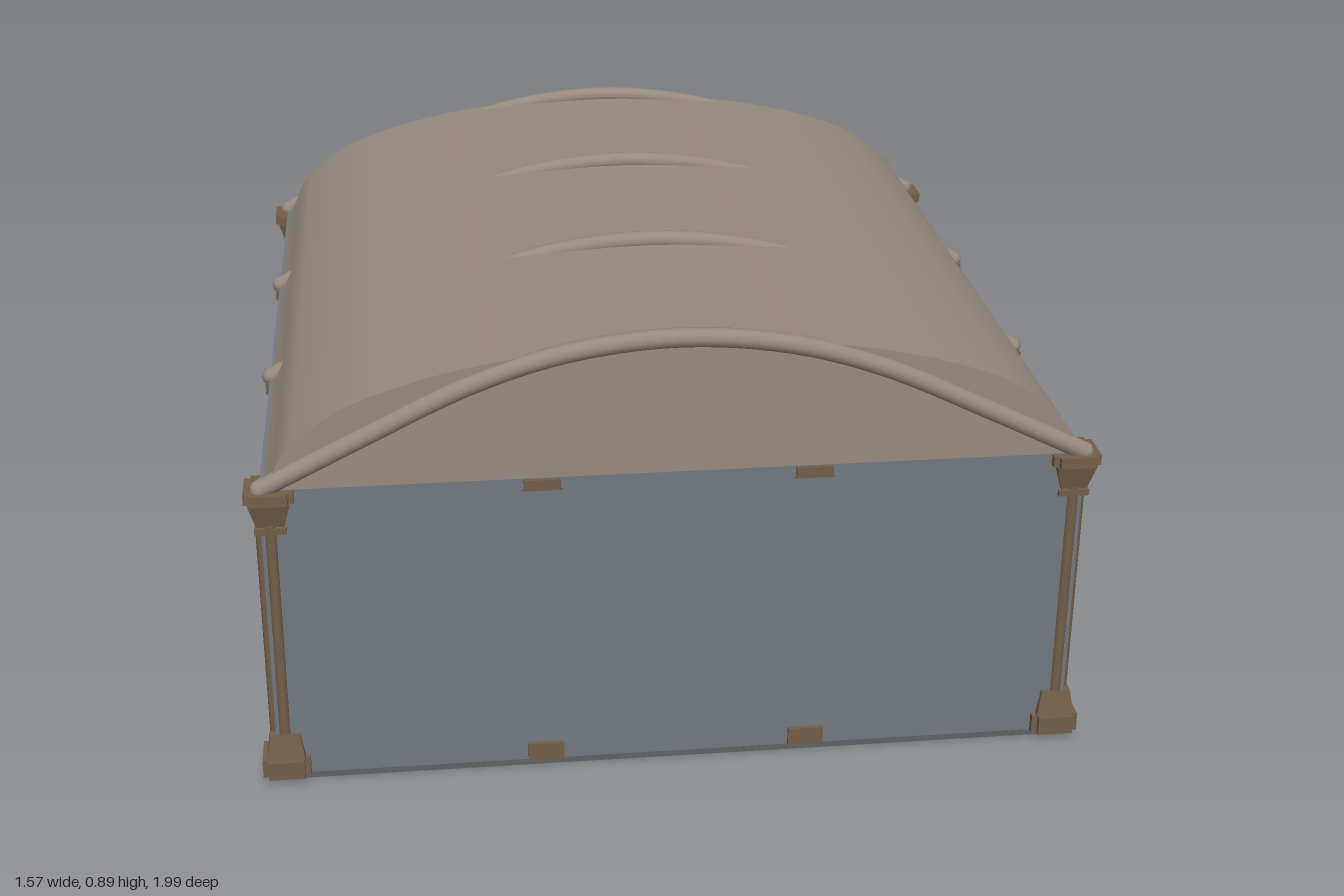
import * as THREE from 'three';
import { toCreasedNormals } from 'three/addons/utils/BufferGeometryUtils.js';

const mat = (name, color) => {
  const m = new THREE.MeshStandardMaterial({ color });
  m.name = name;
  return m;
};

export function createModel() {
  const root = new THREE.Group();
  root.name = 'vaultedHall';
  const grey = mat('wallGrey', 0x737880);
  const stone = mat('roofStone', 0x968a7d);
  const brown = mat('columnBrown', 0x745f49);
  const slab = mat('slabGrey', 0x606367);
  const black = mat('doorBlack', 0x0a0a0a);

  const add = (parent, name, geo, material, x = 0, y = 0, z = 0) => {
    const m = new THREE.Mesh(geo, material);
    m.name = name;
    m.position.set(x, y, z);
    parent.add(m);
    return m;
  };
  // Box given by its limits on each axis
  const box = (parent, name, material, x0, x1, y0, y1, z0, z1) =>
    add(parent, name, new THREE.BoxGeometry(x1 - x0, y1 - y0, z1 - z0), material,
      (x0 + x1) / 2, (y0 + y1) / 2, (z0 + z1) / 2);
  const extrude = (shape, depth) =>
    new THREE.ExtrudeGeometry(shape, { depth, bevelEnabled: false, curveSegments: 16 });

  const back = -0.55, front = 0.967, side = 0.757, top = 0.61, floorY = 0.012;

  // Floor slabs with brown paving
  box(root, 'hallSlab', slab, -0.755, 0.755, 0, floorY, back, front);
  box(root, 'passageSlab', slab, -0.2, 0.2, 0, floorY, -0.99, back);
  box(root, 'hallPaving', brown, -0.745, 0.745, floorY, 0.016, back + 0.012, front - 0.012);
  box(root, 'passagePaving', brown, -0.19, 0.19, floorY, 0.016, -0.98, back);

  // Hall walls; the back one has an arched opening
  box(root, 'frontWall', grey, -side, side, floorY, top, front - 0.012, front);
  for (const s of [-1, 1])
    add(root, 'sideWall', new THREE.BoxGeometry(0.012, top - floorY, front - back), grey,
      s * (side - 0.006), (top + floorY) / 2, (front + back) / 2);
  const backShape = new THREE.Shape();
  backShape.moveTo(-side, floorY).lineTo(-0.11, floorY).lineTo(-0.11, 0.31);
  backShape.absarc(0, 0.31, 0.11, Math.PI, 0, true);
  backShape.lineTo(0.11, floorY).lineTo(side, floorY).lineTo(side, top).lineTo(-side, top);
  add(root, 'backWall', extrude(backShape, 0.012), grey, 0, 0, back);

  // Roof vault shell and the two gable ends
  const half = [[0.75, 0.61], [0.735, 0.635], [0.715, 0.672], [0.685, 0.705], [0.6, 0.765],
    [0.455, 0.815], [0.305, 0.845], [0.15, 0.861], [0, 0.867]];
  const outline = [...half, ...half.slice(0, -1).reverse().map(([x, y]) => [-x, y])]
    .map(([x, y]) => new THREE.Vector2(x, y));
  const arc = new THREE.SplineCurve(outline).getPoints(48);
  const inner = arc.map(p => new THREE.Vector2(p.x * 0.98, top + (p.y - top) * 0.95)).reverse();
  const vault = extrude(new THREE.Shape([...arc, ...inner]), front - back);
  add(root, 'roofVault', toCreasedNormals(vault, 0.6), stone, 0, 0, back);
  const gable = extrude(new THREE.Shape(arc), 0.012);
  add(root, 'frontGable', gable, stone, 0, 0, front - 0.013);
  add(root, 'backGable', gable, stone, 0, 0, back + 0.001);

  // Arched ribs crossing the vault
  const ribHalf = [[0.755, 0.612], [0.58, 0.7], [0.37, 0.8], [0.2, 0.852]];
  const ribPath = new THREE.CatmullRomCurve3([
    ...ribHalf.map(([x, y]) => new THREE.Vector3(-x, y, 0)), new THREE.Vector3(0, 0.873, 0),
    ...ribHalf.slice().reverse().map(([x, y]) => new THREE.Vector3(x, y, 0))]);
  const ribGeo = new THREE.TubeGeometry(ribPath, 48, 0.018, 12);
  const ribEnd = new THREE.SphereGeometry(0.018, 12, 8);
  for (const z of [0.964, 0.464, -0.036, -0.537]) {
    add(root, 'roofRib', ribGeo, stone, 0, 0, z);
    for (const s of [-1, 1]) add(root, 'ribEnd', ribEnd, stone, s * 0.755, 0.612, z);
  }

  // Clustered columns with cross-shaped bases and capitals
  const shaftGeo = new THREE.CylinderGeometry(0.011, 0.011, 0.44, 12);
  const frustum = (rTop, rBottom, h) => {
    const g = new THREE.CylinderGeometry(rTop * Math.SQRT2, rBottom * Math.SQRT2, h, 4).toNonIndexed();
    g.rotateY(Math.PI / 4);
    g.computeVertexNormals();
    return g;
  };
  const baseGeo = frustum(0.028, 0.036, 0.05);
  const bellGeo = frustum(0.038, 0.025, 0.05);
  const collarGeo = frustum(0.029, 0.029, 0.012);
  function column(name, x, z) {
    const g = new THREE.Group();
    g.name = name;
    g.position.set(x, 0, z);
    root.add(g);
    for (const [w, d] of [[0.09, 0.068], [0.068, 0.09]]) {
      box(g, 'plinth', brown, -w / 2, w / 2, 0.013, 0.05, -d / 2, d / 2);
      box(g, 'abacus', brown, -w / 2, w / 2, 0.588, 0.609, -d / 2, d / 2);
    }
    add(g, 'base', baseGeo, brown, 0, 0.075, 0);
    add(g, 'collar', collarGeo, brown, 0, 0.53, 0);
    add(g, 'capital', bellGeo, brown, 0, 0.563, 0);
    add(g, 'shaft', shaftGeo, brown, 0, 0.32, 0).scale.set(1.3, 1, 1.3);
    for (let i = 0; i < 4; i++) {
      const a = i * Math.PI / 2;
      add(g, 'shaft', shaftGeo, brown, 0.018 * Math.cos(a), 0.32, 0.018 * Math.sin(a));
    }
  }
  for (const s of [-1, 1]) {
    column('cornerColumn', s * 0.74, 0.945);
    column('cornerColumn', s * 0.74, -0.528);
    for (const z of [0.464, -0.036]) column('sideColumn', s * 0.72, z);
    column('frontColumn', s * 0.25, 0.93);
    column('backColumn', s * 0.25, -0.513);
  }

  // Door frame on the back wall
  for (const s of [-1, 1]) add(root, 'framePost', new THREE.BoxGeometry(0.035, 0.488, 0.015), grey,
    s * 0.2325, 0.256, back - 0.0075);
  box(root, 'frameLintel', grey, -0.25, 0.25, 0.47, 0.5, back - 0.015, back);

  // Open passage with stone lining and a dark end panel
  for (const s of [-1, 1]) {
    add(root, 'passageWall', new THREE.BoxGeometry(0.008, 0.508, 0.435), grey, s * 0.196, 0.266, -0.7675);
    add(root, 'passageLining', new THREE.BoxGeometry(0.004, 0.506, 0.433), stone, s * 0.19, 0.266, -0.7675);
  }
  box(root, 'endPanel', black, -0.235, 0.235, 0.008, 0.52, -1, -0.982);

  // Rounded arch surround of the doorway
  add(root, 'archRing', new THREE.TorusGeometry(0.115, 0.028, 12, 24, Math.PI), brown, 0, 0.31, back - 0.01);
  for (const s of [-1, 1]) add(root, 'archPost', new THREE.CylinderGeometry(0.028, 0.028, 0.298, 12),
    brown, s * 0.115, 0.161, back - 0.01);

  return root;
}
